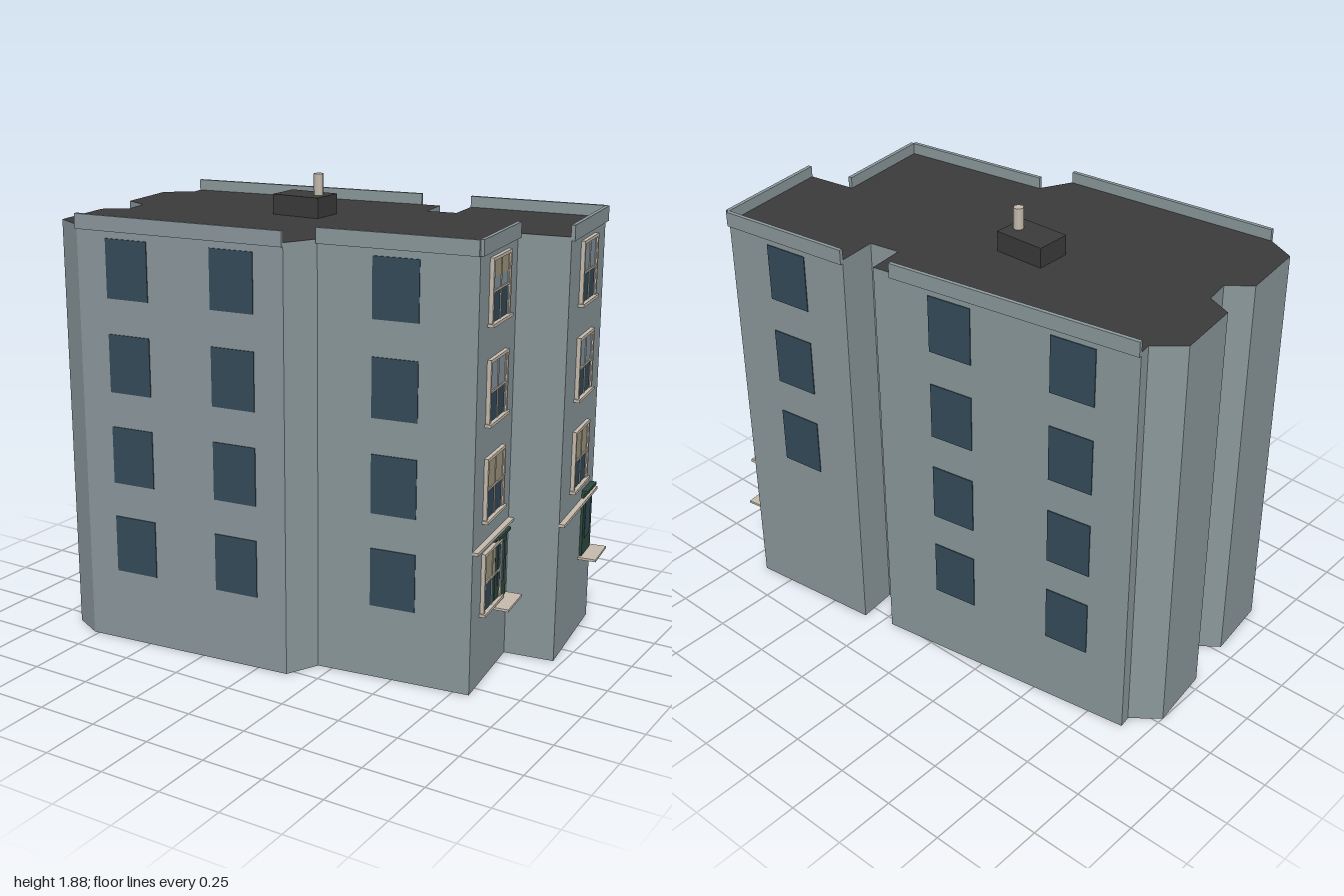
import * as THREE from 'three';

const mat = (name, color, side = THREE.FrontSide) => {
  const m = new THREE.MeshStandardMaterial({ color, side });
  m.name = name;
  return m;
};

export function createModel() {
  const wallMat = mat('grey blue wall', 0x8b989c);
  const roofMat = mat('dark roof', 0x3b3b3b);
  const glassMat = mat('dark glass', 0x344b59);
  const paleGlassMat = mat('pale upper glass', 0x8595a0);
  const stoneMat = mat('beige stone', 0xc6bcae);
  const blindMat = mat('window blind', 0xa09880);
  const doorMat = mat('green door', 0x2c4a3e);

  const model = new THREE.Group();
  model.name = 'apartmentBlock';
  const ROOF = 1.71;

  // Footprint corners as [x, z]
  const footprint = [
    [-1, -0.22], [-0.895, -0.31], [-0.903, -0.36], [0.205, -0.525],
    [0.225, -0.375], [0.35, -0.395], [0.33, -0.56], [0.895, -0.625],
    [0.965, -0.13], [0.762, -0.10], [0.815, 0.315], [0.19, 0.40],
    [0.125, 0.53], [-0.77, 0.622], [-0.895, 0.56], [-0.93, 0.28],
    [-0.84, 0.21], [-0.86, 0.10], [-0.965, 0.055],
  ];
  const shape = new THREE.Shape(footprint.map(([x, z]) => new THREE.Vector2(x, -z)));
  const bodyGeo = new THREE.ExtrudeGeometry(shape, { depth: ROOF, bevelEnabled: false });
  bodyGeo.rotateX(-Math.PI / 2);
  const body = new THREE.Mesh(bodyGeo, [roofMat, wallMat]);
  body.name = 'building';
  model.add(body);

  const box = (parent, name, material, w, h, d, x, y, z) => {
    const m = new THREE.Mesh(new THREE.BoxGeometry(w, h, d), material);
    m.name = name;
    m.position.set(x, y, z);
    parent.add(m);
    return m;
  };

  // Facade frame: x runs along the wall, y up, z outwards
  const facade = (name, a, b, parapetStart = 0) => {
    const g = new THREE.Group();
    g.name = name;
    const dx = b[0] - a[0], dz = b[1] - a[1];
    g.position.set(a[0], 0, a[1]);
    g.rotation.y = Math.atan2(-dz, dx);
    const length = Math.hypot(dx, dz);
    g.userData.length = length;
    box(g, 'parapet', wallMat, length - parapetStart, 0.06, 0.016,
      (length + parapetStart) / 2, 1.725, 0.005);
    model.add(g);
    return g;
  };

  // Plain windows: one flat pane per floor
  const plainWindows = (g, fractions, firstFloor = 0) => {
    for (const t of fractions) {
      for (let i = firstFloor; i < 4; i++) {
        box(g, 'windowPane', glassMat, 0.184, 0.235, 0.006,
          g.userData.length * t, 0.418 + 0.377 * i, 0.001);
      }
    }
  };

  // Framed sash window with optional blind (fraction of the upper sash)
  const sashWindow = (g, t, floor, blind) => {
    const w = new THREE.Group();
    w.name = 'sashWindow';
    w.position.set(g.userData.length * t, 0.412 + 0.378 * floor, 0);
    g.add(w);
    box(w, 'lowerPane', glassMat, 0.19, 0.122, 0.008, 0, -0.061, 0.004);
    box(w, 'upperPane', paleGlassMat, 0.19, 0.122, 0.008, 0, 0.061, 0.004);
    if (blind > 0) {
      const h = 0.122 * blind;
      box(w, 'blind', blindMat, 0.186, h, 0.008, 0, 0.122 - h / 2, 0.0055);
    }
    for (const s of [-1, 1]) {
      box(w, 'frameSide', stoneMat, 0.013, 0.25, 0.016, s * 0.096, 0, 0.008);
      box(w, 'sashSide', stoneMat, 0.005, 0.24, 0.012, s * 0.084, 0, 0.006);
    }
    box(w, 'frameTop', stoneMat, 0.205, 0.012, 0.016, 0, 0.12, 0.008);
    box(w, 'meetingRail', stoneMat, 0.18, 0.008, 0.012, 0, 0, 0.007);
    box(w, 'mullion', stoneMat, 0.006, 0.24, 0.012, 0, 0, 0.006);
    box(w, 'sill', stoneMat, 0.222, 0.012, 0.024, 0, -0.122, 0.012);
  };

  // Door with glass pane, lintel and projecting step
  const door = (g, t, bottom) => {
    const d = new THREE.Group();
    d.name = 'door';
    d.position.set(g.userData.length * t, bottom, 0);
    g.add(d);
    box(d, 'doorLeaf', doorMat, 0.135, 0.285, 0.01, 0, 0.1425, 0.005);
    box(d, 'doorGlass', glassMat, 0.075, 0.165, 0.004, 0, 0.155, 0.01);
    box(d, 'doorLintel', doorMat, 0.135, 0.012, 0.026, 0, 0.28, 0.013);
    box(d, 'doorStep', stoneMat, 0.17, 0.01, 0.075, 0, -0.003, 0.0375);
  };

  // Front and back walls
  plainWindows(facade('frontLeftWall', footprint[13], footprint[12]), [0.248, 0.758]);
  plainWindows(facade('frontRightWall', footprint[11], footprint[10]), [0.496]);
  plainWindows(facade('backMainWall', footprint[3], footprint[2], 0.08), [0.3, 0.765]);
  plainWindows(facade('backWingWall', footprint[7], footprint[6]), [0.5], 1);

  // Entrance walls on the side
  const sideFront = facade('sideFrontWall', footprint[10], footprint[9]);
  [0.95, 1, 0, 0.6].forEach((blind, i) => sashWindow(sideFront, 0.495, i, blind));
  door(sideFront, 0.735, 0.275);

  const sideWing = facade('sideWingWall', footprint[8], footprint[7]);
  [1, 0, 0].forEach((blind, i) => sashWindow(sideWing, 0.49, i + 1, blind));
  door(sideWing, 0.795, 0.328);

  for (const g of [sideFront, sideWing]) {
    const l = g.userData.length;
    box(g, 'stringCourse', stoneMat, l, 0.012, 0.022, l / 2, 0.576, 0.011);
  }

  // Roof box and flue
  box(model, 'chimneyBase', roofMat, 0.212, 0.082, 0.145, -0.155, 1.75, -0.053);
  const flue = new THREE.Mesh(new THREE.CylinderGeometry(0.02, 0.02, 0.09, 8), stoneMat);
  flue.name = 'chimneyFlue';
  flue.position.set(-0.09, 1.832, -0.052);
  model.add(flue);

  return model;
}
